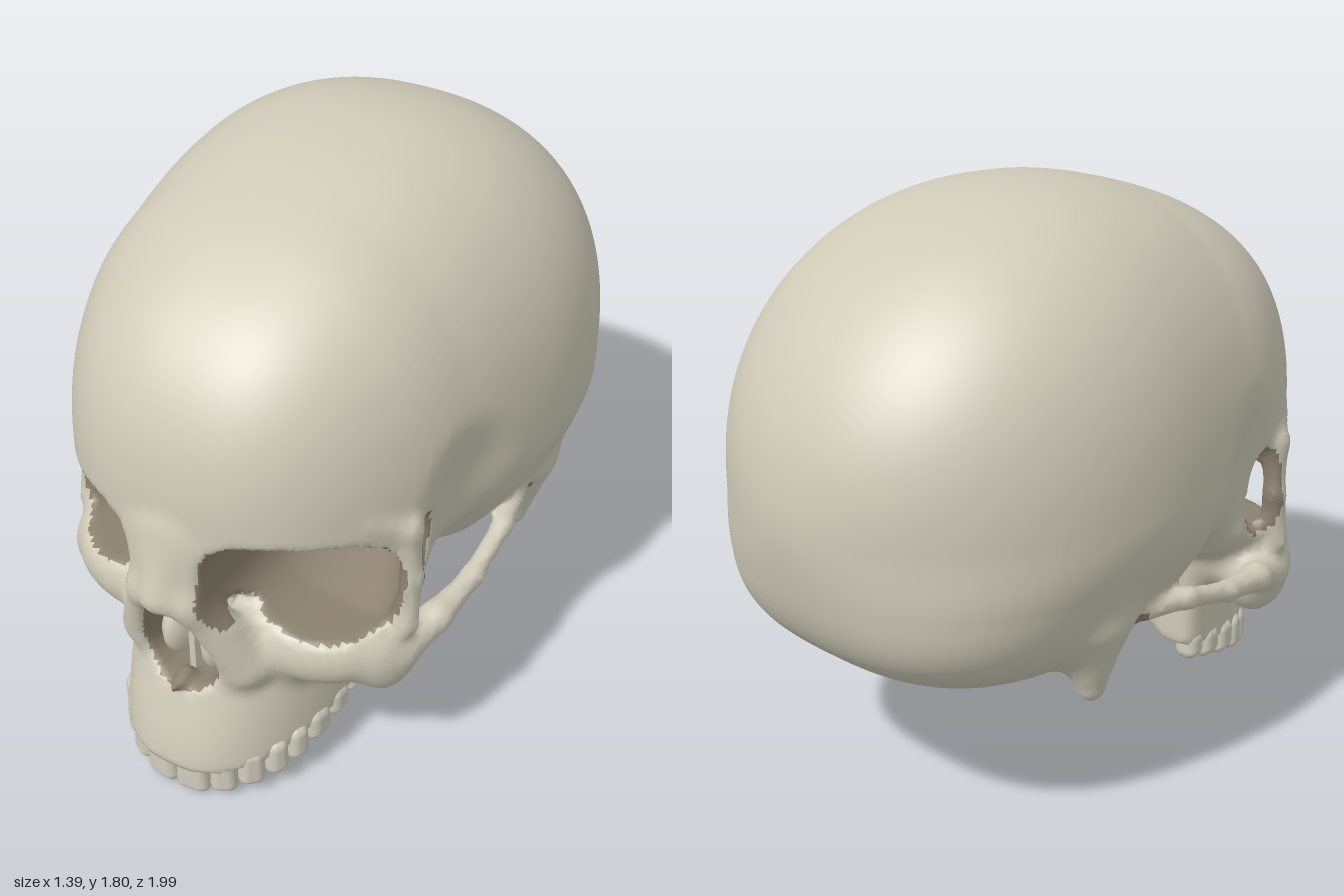
import * as THREE from 'three';
import { RoundedBoxGeometry } from 'three/addons/geometries/RoundedBoxGeometry.js';

const { lerp, clamp, smoothstep } = THREE.MathUtils;
const { abs, min, max, hypot, pow } = Math;

const bone = new THREE.MeshStandardMaterial({ color: 0xcfcab8 });
bone.name = 'bone';
const cavity = new THREE.MeshStandardMaterial({ color: 0x8c8170 });
cavity.name = 'cavity bone';
const enamel = new THREE.MeshStandardMaterial({ color: 0xd1cdbe });
enamel.name = 'tooth enamel';

// Distance helpers (negative is inside)
const join = (a, b, k) => {
  const h = max(k - abs(a - b), 0) / k;
  return min(a, b) - h * h * k / 4;
};
const cut = (a, b, k) => -join(-a, b, k);
const ellipsoid = (x, y, z, c, r) => {
  const px = (x - c[0]) / r[0], py = (y - c[1]) / r[1], pz = (z - c[2]) / r[2];
  const k = hypot(px, py, pz);
  return k * (k - 1) / (hypot(px / r[0], py / r[1], pz / r[2]) + 1e-6);
};
const limb = (x, y, z, a, b, ra, rb) => {
  const dx = b[0] - a[0], dy = b[1] - a[1], dz = b[2] - a[2];
  const px = x - a[0], py = y - a[1], pz = z - a[2];
  const h = clamp((px * dx + py * dy + pz * dz) / (dx * dx + dy * dy + dz * dz), 0, 1);
  return hypot(px - dx * h, py - dy * h, pz - dz * h) - lerp(ra, rb, h);
};

// Braincase: a superellipsoid, fuller at the forehead and flatter at the base
function braincase(x, y, z) {
  const low = 1 - smoothstep(y, 0.6, 1);
  const H = y > 1 ? 0.815 - 0.05 * smoothstep(z, 0.05, 0.6) : lerp(0.6, 0.45, smoothstep(z, 0.02, 0.17));
  const W = (0.685 - 0.08 * z) * (1 - 0.08 * low);
  const L = z < -0.1 ? 0.9 : 1.02;
  const n = 2 + 0.5 * smoothstep(z, -0.1, 0.5) + 0.7 * low * (1 - smoothstep(z, -0.2, 0.2));
  const m = max(n, 2.35);
  const section = pow(pow(x / W, m) + pow(abs(y - 1) / H, m), n / m);
  return (pow(section + pow(abs(z + 0.1) / L, n), 1 / n) - 1) * 0.7;
}

// Gum line rises toward the back teeth
const gumY = z => 0.13 + (0.93 - z) * 0.2;

// Upper jaw: horseshoe block, receding upward, with a hollow palate
function upperJaw(x, y, z) {
  const front = 0.96 - 0.12 * smoothstep(y, 0.1, 0.62);
  const half = 0.345 - 0.05 * smoothstep(y, 0.4, 0.6);
  const q = pow(x / half, 2.3) + pow(abs(z - 0.38) / (front - 0.38), 2.3);
  let d = (pow(q, 1 / 2.3) - 1) * 0.33;
  d = cut(d, z - 0.38, 0.05);
  d = cut(d, y - gumY(z) + 0.012, 0.015);
  d = max(d, y - 0.64);
  return cut(d, ellipsoid(x, y, z, [0, 0.13, 0.42], [0.245, 0.2, 0.42]), 0.03);
}

// Openings: eye sockets, nose, the gap behind the socket, spinal and ear openings
function openings(x, y, z) {
  const back = clamp(0.55 - z, 0, 0.3), s = 1 - 1.2 * back;
  const ex = abs(x - 0.337 + 0.25 * back) / (0.217 * s);
  const ey = abs(y - 0.817 + 0.12 * (x - 0.33)) / (0.187 * s);
  let d = max((pow(pow(ex, 2.8) + pow(ey, 2.8), 1 / 2.8) - 1) * 0.19 * s, 0.32 - z);
  const nx = x / (0.135 - 0.2 * clamp(y - 0.45, 0, 0.4)), ny = abs(y - 0.565) / 0.172;
  d = min(d, max((pow(pow(nx, 2.3) + pow(ny, 2.3), 1 / 2.3) - 1) * 0.12, 0.3 - z));
  d = min(d, ellipsoid(x, y, z, [0.57, 0.82, 0.45], [0.1, 0.15, 0.06]));
  d = min(d, ellipsoid(x, y, z, [0, 0.42, -0.25], [0.12, 0.14, 0.14]));
  return min(d, hypot(x - 0.61, y - 0.62, z + 0.18) - 0.03);
}

const cheekArch = [[0.535, 0.52, 0.54], [0.585, 0.56, 0.4], [0.607, 0.585, 0.22], [0.605, 0.635, 0.02], [0.57, 0.645, -0.14]];
const archRadius = [0.06, 0.044, 0.031, 0.03, 0.035];
const socketRim = [[0.47, 1.03, 0.62], [0.55, 0.97, 0.525], [0.562, 0.8, 0.515], [0.555, 0.63, 0.54]];
const rimRadius = [0.03, 0.035, 0.027, 0.04];

// Smoothly joins a chain of tapered limbs
function chain(d, x, y, z, points, radii, k) {
  for (let i = 0; i < points.length - 1; i++)
    d = join(d, limb(x, y, z, points[i], points[i + 1], radii[i], radii[i + 1]), k);
  return d;
}

function skull(sx, y, z) {
  const x = abs(sx);
  // braincase with the wall around each socket, then the temple hollow
  let d = join(braincase(x, y, z), ellipsoid(x, y, z, [0.34, 0.79, 0.48], [0.235, 0.24, 0.26]), 0.06);
  d = cut(d, ellipsoid(x, y, z, [0.76, 0.86, 0.34], [0.2, 0.36, 0.22]), 0.09);
  // face under the sockets, cheekbone, nose bridge and its flanks
  let f = join(upperJaw(x, y, z), ellipsoid(x, y, z, [0.27, 0.55, 0.58], [0.27, 0.16, 0.2]), 0.06);
  f = join(f, ellipsoid(x, y, z, [0.5, 0.51, 0.53], [0.085, 0.13, 0.13]), 0.05);
  f = chain(f, x, y, z, [[0.06, 0.96, 0.85], [0.07, 0.77, 0.89], [0.17, 0.5, 0.79]], [0.065, 0.06, 0.075], 0.05);
  f = join(f, limb(x, y, z, [0, 0.98, 0.86], [0, 0.79, 0.95], 0.075, 0.045), 0.05);
  d = join(d, f, 0.05);
  // bony point behind the ear
  d = join(d, limb(x, y, z, [0.49, 0.64, -0.3], [0.5, 0.43, -0.29], 0.13, 0.045), 0.06);
  d = cut(d, openings(x, y, z), 0.015);
  // nasal spine, plate behind the jaw
  d = join(d, limb(x, y, z, [0, 0.405, 0.84], [0, 0.405, 0.91], 0.025, 0.014), 0.02);
  d = join(d, limb(x, y, z, [0.18, 0.62, 0.28], [0.17, 0.4, 0.37], 0.045, 0.035), 0.05);
  // outer socket rim and cheek arch
  d = chain(d, x, y, z, socketRim, rimRadius, 0.03);
  return chain(d, x, y, z, cheekArch, archRadius, 0.025);
}

// Skin the distance rule: one vertex per crossed cell, one quad per crossed edge
function skin(field, isCavity, origin, count, cell) {
  const [nx, ny, nz] = count, step = [1, nx, nx * ny];
  const F = new Float32Array(nx * ny * nz), vertexOf = new Int32Array(F.length).fill(-1);
  const at = (i, a) => origin[a] + i * cell;
  for (let k = 0, p = 0; k < nz; k++) for (let j = 0; j < ny; j++) for (let i = 0; i < nx; i++)
    F[p++] = field(at(i, 0), at(j, 1), at(k, 2));
  const pos = [], faces = [[], []];
  for (let k = 0; k < nz - 1; k++) for (let j = 0; j < ny - 1; j++) for (let i = 0; i < nx - 1; i++) {
    const p = i + nx * (j + ny * k), sum = [0, 0, 0];
    let hits = 0;
    const corner = c => F[p + (c & 1) + (c >> 1 & 1) * step[1] + (c >> 2) * step[2]];
    for (let c = 0; c < 8; c++) for (let a = 0; a < 3; a++) {
      if (c >> a & 1) continue;
      const u = corner(c), v = corner(c | 1 << a);
      if ((u < 0) === (v < 0)) continue;
      for (let b = 0; b < 3; b++) sum[b] += b === a ? u / (u - v) : c >> b & 1;
      hits++;
    }
    if (!hits) continue;
    vertexOf[p] = pos.length / 3;
    pos.push(at(i + sum[0] / hits, 0), at(j + sum[1] / hits, 1), at(k + sum[2] / hits, 2));
  }
  for (let k = 1; k < nz - 1; k++) for (let j = 1; j < ny - 1; j++) for (let i = 1; i < nx - 1; i++) {
    const p = i + nx * (j + ny * k);
    for (let a = 0; a < 3; a++) {
      const inside = F[p] < 0;
      if (inside === (F[p + step[a]] < 0)) continue;
      const u = step[(a + 1) % 3], v = step[(a + 2) % 3];
      const q = [p - u - v, p - v, p, p - u].map(c => vertexOf[c]);
      if (!inside) q.reverse();
      const mid = [0, 1, 2].map(b => q.reduce((s, n) => s + pos[n * 3 + b], 0) / 4);
      faces[isCavity(...mid) ? 1 : 0].push(q[0], q[1], q[2], q[0], q[2], q[3]);
    }
  }
  const g = new THREE.BufferGeometry();
  g.setAttribute('position', new THREE.Float32BufferAttribute(pos, 3));
  g.setIndex(faces[0].concat(faces[1]));
  g.addGroup(0, faces[0].length, 0);
  g.addGroup(faces[0].length, faces[1].length, 1);
  g.computeVertexNormals();
  return g;
}

// Tooth crown: rounded block, narrower at the neck
function toothGeometry(w, h, d) {
  const g = new RoundedBoxGeometry(w, h, d, 4, min(w, h, d) * 0.42);
  const p = g.attributes.position;
  for (let i = 0; i < p.count; i++) {
    const t = p.getY(i) / h + 0.5;
    p.setX(i, p.getX(i) * (1 - 0.15 * t * t));
    p.setZ(i, p.getZ(i) * (0.8 + 0.2 * Math.sin(t * Math.PI)));
  }
  return g;
}

export function createModel() {
  const model = new THREE.Group();
  model.name = 'skull';
  const add = (parent, name, geometry, material) => {
    const m = new THREE.Mesh(geometry, material);
    m.name = name;
    parent.add(m);
    return m;
  };

  const cell = 0.0165;
  add(model, 'craniumAndFace', skin(skull, (x, y, z) => openings(abs(x), y, z) < 0.007,
    [-45 * cell, 0.08, -1.05], [91, 109, 128], cell), [bone, cavity]);

  // Nasal septum and turbinates
  add(model, 'nasalSeptum', new THREE.BoxGeometry(0.02, 0.33, 0.42), bone).position.set(0, 0.565, 0.6);
  for (const side of [-1, 1]) {
    const shell = add(model, 'turbinate', new THREE.SphereGeometry(1, 20, 14), bone);
    shell.scale.set(0.05, 0.115, 0.1);
    shell.position.set(side * 0.068, 0.515, 0.74);
  }

  // Upper teeth, walked along half the dental arch and mirrored
  const teeth = new THREE.Group();
  teeth.name = 'upperTeeth';
  model.add(teeth);
  const arch = new THREE.CatmullRomCurve3([[0, 0.915], [0.12, 0.89], [0.215, 0.815], [0.277, 0.7], [0.305, 0.55], [0.31, 0.4]]
    .map(([x, z]) => new THREE.Vector3(x, 0, z)));
  const widths = [0.11, 0.085, 0.085, 0.075, 0.075, 0.1, 0.095, 0.08];
  const total = widths.reduce((a, b) => a + b);
  let walked = 0;
  widths.forEach((w, i) => {
    const u = (walked + w / 2) / total;
    walked += w;
    const p = arch.getPointAt(u), t = arch.getTangentAt(u);
    const crown = lerp(0.13, 0.062, pow(u, 0.8)), h = crown + 0.04;
    const g = toothGeometry(w, h, i < 3 ? 0.075 : 0.085);
    for (const side of [-1, 1]) {
      const tooth = add(teeth, 'tooth', g, enamel);
      tooth.position.set(side * p.x, gumY(p.z) - crown + h / 2, p.z);
      tooth.rotation.y = side * Math.atan2(-t.z, t.x);
    }
  });
  return model;
}
